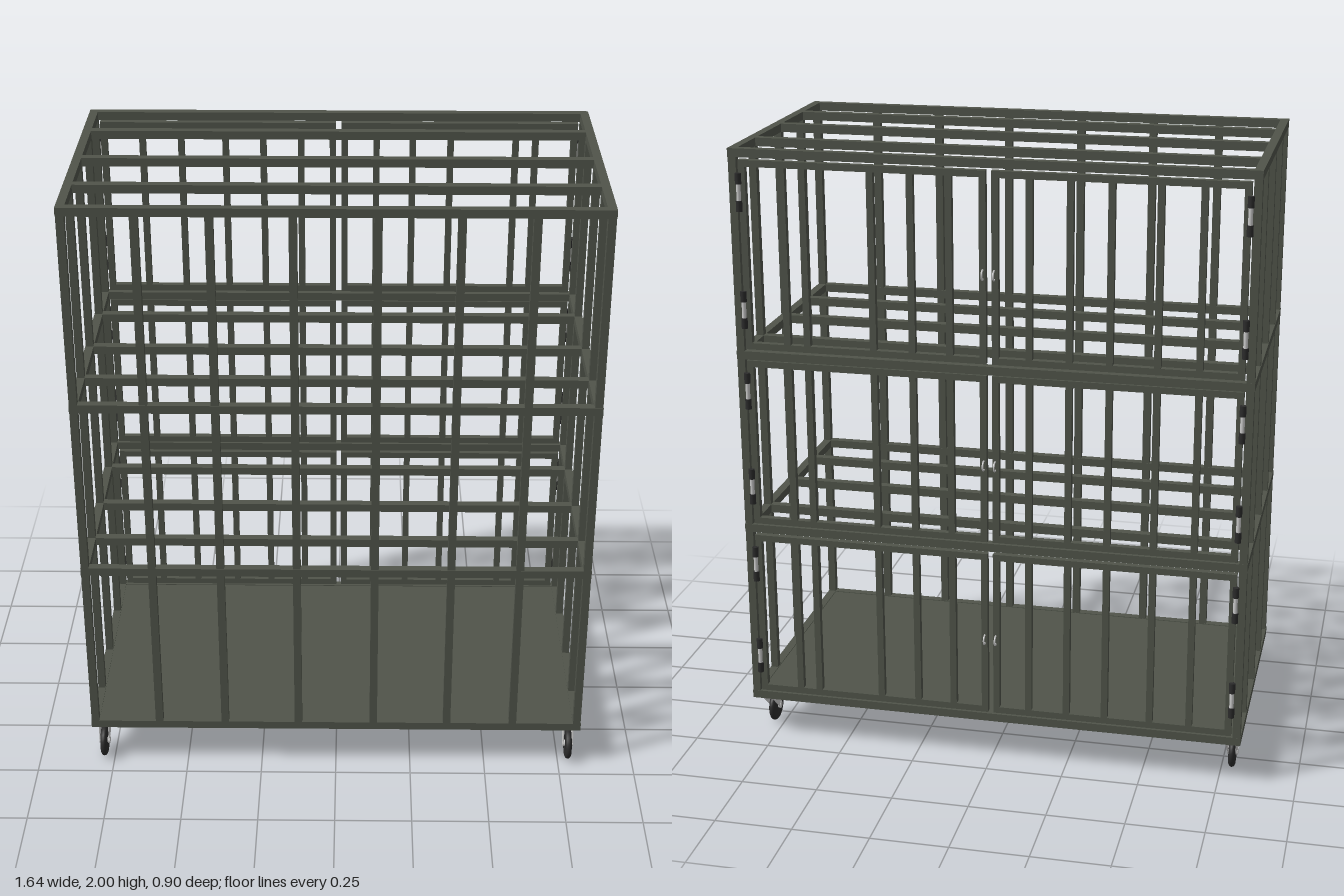
import * as THREE from 'three';

const paint = new THREE.MeshStandardMaterial({ color: 0x50544a });
const rubber = new THREE.MeshStandardMaterial({ color: 0x2b2b2b });
const steel = new THREE.MeshStandardMaterial({ color: 0xcccccc });

const T = 0.027;                        // tube thickness
const X = 0.805, ZF = 0.43, ZB = -0.417; // frame centre lines
const LEVELS = [0.152, 0.752, 1.34, 1.986];

function add(parent, name, geometry, material, x = 0, y = 0, z = 0) {
  const mesh = new THREE.Mesh(geometry, material);
  mesh.name = name;
  mesh.position.set(x, y, z);
  parent.add(mesh);
  return mesh;
}

function box(parent, name, w, h, d, x, y, z, material = paint) {
  return add(parent, name, new THREE.BoxGeometry(w, h, d), material, x, y, z);
}

function group(parent, name) {
  const g = new THREE.Group();
  g.name = name;
  parent.add(g);
  return g;
}

// Hinged door with a thin frame and vertical bars
function door(parent, side, y0, y1, bars) {
  const g = group(parent, side > 0 ? 'leftDoor' : 'rightDoor');
  const t = 0.021, xi = 0.009, xo = 0.787, h = y1 - y0, yc = (y0 + y1) / 2;
  for (const x of [xi + t / 2, xo - t / 2]) box(g, 'doorStile', t, h, t, side * x, yc, ZB);
  for (const y of [y0 + t / 2, y1 - t / 2]) {
    box(g, 'doorRail', xo - xi - 2 * t, t, t, side * (xi + xo) / 2, y, ZB);
  }
  for (const x of bars) box(g, 'doorBar', t, h - 2 * t, t, x, yc, ZB);

  // Pull ring
  const ring = add(g, 'pullRing', new THREE.TorusGeometry(0.015, 0.003, 8, 20), steel,
    side * 0.018, yc - 0.018, ZB - 0.015);
  ring.rotation.y = Math.PI / 2;

  // Hinges: a pale barrel between two dark knuckles
  for (const y of [y0 + 0.13, y1 - 0.1]) {
    const hinge = group(g, 'hinge');
    hinge.position.set(side * 0.786, y, ZB - 0.016);
    add(hinge, 'hingeBarrel', new THREE.CylinderGeometry(0.007, 0.007, 0.06, 12), steel);
    for (const s of [-1, 1]) {
      add(hinge, 'hingeKnuckle', new THREE.CylinderGeometry(0.01, 0.01, 0.034, 12), rubber, 0, s * 0.043, 0);
    }
  }
}

// Swivel caster; its origin is the point on the ground below the wheel
function caster(parent, x, z) {
  const g = group(parent, 'caster');
  g.position.set(x, 0, z);
  const r = 0.054, w = 0.01;
  const profile = [[0.012, -w], [r - 0.008, -w], [r - 0.002, -w * 0.6], [r, 0],
    [r - 0.002, w * 0.6], [r - 0.008, w], [0.012, w], [0.012, -w]]
    .map(p => new THREE.Vector2(...p));
  add(g, 'wheel', new THREE.LatheGeometry(profile, 28), rubber, 0, r, 0).rotation.z = Math.PI / 2;
  const axle = add(g, 'axle', new THREE.CylinderGeometry(0.012, 0.012, 0.036, 16), steel, 0, r, 0);
  axle.rotation.z = Math.PI / 2;

  // Fork cheeks, drawn with shape x pointing to the back
  const cheek = new THREE.Shape();
  cheek.moveTo(-0.01, 0.05);
  cheek.lineTo(0.008, 0.05);
  cheek.lineTo(0.075, 0.112);
  cheek.lineTo(0.075, 0.138);
  cheek.lineTo(-0.01, 0.138);
  const cheekGeo = new THREE.ExtrudeGeometry(cheek, { depth: 0.003, bevelEnabled: false });
  cheekGeo.rotateY(Math.PI / 2);
  for (const cx of [-0.017, 0.014]) add(g, 'forkCheek', cheekGeo, steel, cx, 0, 0);
  box(g, 'forkTop', 0.034, 0.006, 0.085, 0, 0.137, -0.0325, steel);
}

export function createModel() {
  const model = new THREE.Group();
  model.name = 'rollingCage';
  const frame = group(model, 'frame');
  const bottom = LEVELS[0], top = LEVELS[3];
  const height = top - bottom, midY = (top + bottom) / 2;
  const midZ = (ZF + ZB) / 2, depth = ZF - ZB;
  const sideZ = [-0.235, 0.015, 0.243];

  // Floor panel
  box(frame, 'floor', 2 * X, 0.022, depth, 0, bottom, midZ);

  // Horizontal rings, with cross bars above the floor
  LEVELS.forEach((y, i) => {
    for (const z of [ZF, ZB]) box(frame, 'longBeam', 2 * X + T, T, T, 0, y, z);
    for (const s of [-1, 1]) box(frame, 'sideBeam', T, T, depth - T, s * X, y, midZ);
    if (i > 0) for (const z of sideZ) box(frame, 'crossBar', 2 * X - T, T, T, 0, y, z);
  });

  // Corner posts and side bars
  for (const s of [-1, 1]) {
    for (const z of [ZF, ZB]) box(frame, 'cornerPost', T - 0.002, height, T - 0.002, s * X, midY, z);
    for (const z of sideZ) box(frame, 'sideBar', T - 0.003, height, T - 0.003, s * X, midY, z);
  }

  // Front bars
  for (const s of [-1, 1]) {
    for (const x of [0.125, 0.37, 0.59]) box(frame, 'frontBar', 0.025, height, 0.025, s * x, midY, ZF);
  }

  // Three pairs of doors at the back
  const doors = group(model, 'doors');
  for (const [y0, y1] of [[0.169, 0.728], [0.769, 1.323], [1.36, 1.964]]) {
    door(doors, -1, y0, y1, [-0.65, -0.522, -0.375, -0.25, -0.125]);
    door(doors, 1, y0, y1, [0.125, 0.245, 0.37, 0.585, 0.65]);
  }

  // Casters
  const casters = group(model, 'casters');
  for (const x of [-0.784, 0.784]) for (const z of [0.398, -0.305]) caster(casters, x, z);

  return model;
}
